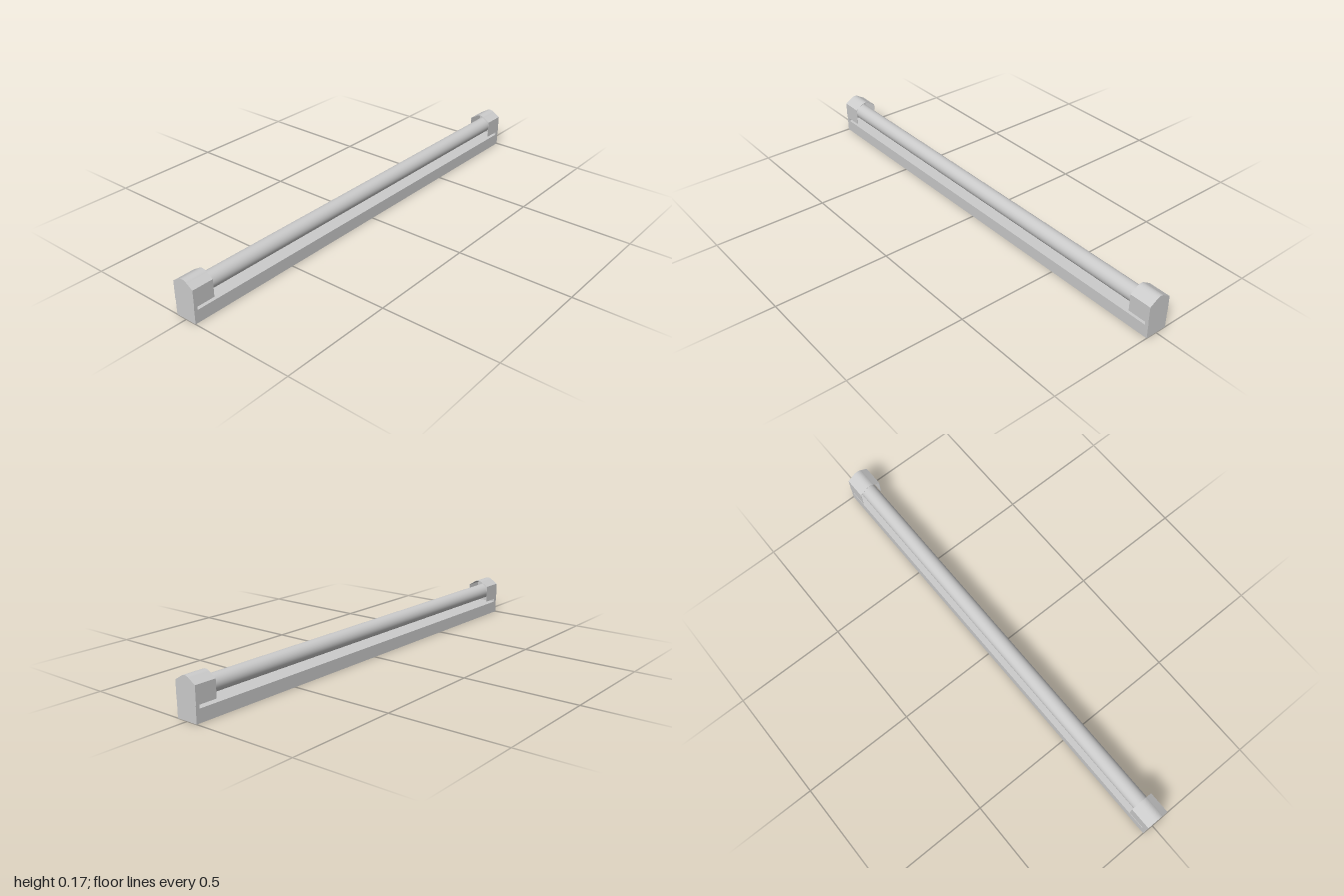
import * as THREE from 'three';

const grey = new THREE.MeshStandardMaterial({ color: 0xcccccc });

const BASE_TOP = 0.054, COVER_BOTTOM = 0.069, SHOULDER = 0.144;
const WALL = 0.016, COVER = 0.095, SKIN = 0.0015;

function part(name, geometry, parent) {
  const mesh = new THREE.Mesh(geometry, grey);
  mesh.name = name;
  parent.add(mesh);
  return mesh;
}

// Rounded gable running from the right shoulder to the left one
function gable(shape, w, drop) {
  const s = SHOULDER - drop * 0.5;
  shape.lineTo(w, s);
  shape.lineTo(0.022, 0.162 - drop);
  shape.bezierCurveTo(0.008, 0.1725 - drop, -0.008, 0.1725 - drop, -0.022, 0.162 - drop);
  shape.lineTo(-w, s);
}

function extrude(shape, depth) {
  return new THREE.ExtrudeGeometry(shape, { depth, bevelEnabled: false, curveSegments: 16 });
}

// Lamp holder at the +z end: upright wall plus a thin open hood over the tube
function makeHolder() {
  const holder = new THREE.Group();
  const wOut = 0.0508, wIn = wOut - SKIN;

  const wall = new THREE.Shape();
  wall.moveTo(wIn, BASE_TOP);
  gable(wall, wIn, SKIN);
  wall.lineTo(-wIn, BASE_TOP);
  wall.closePath();
  part('endWall', extrude(wall, WALL), holder).position.z = 1 - WALL;

  const hood = new THREE.Shape();
  hood.moveTo(wOut, COVER_BOTTOM);
  gable(hood, wOut, 0);
  hood.lineTo(-wOut, COVER_BOTTOM);
  hood.lineTo(-wIn, COVER_BOTTOM);
  // inner outline, traced back to the start
  const inner = new THREE.Shape();
  inner.moveTo(wIn, COVER_BOTTOM);
  gable(inner, wIn, SKIN);
  inner.getPoints(16).reverse().forEach((p) => hood.lineTo(p.x, p.y));
  hood.lineTo(wIn, COVER_BOTTOM);
  hood.closePath();
  part('hood', extrude(hood, COVER), holder).position.z = 1 - COVER;
  return holder;
}

export function createModel() {
  const model = new THREE.Group();
  model.name = 'tubeLight';

  // Long mounting base
  const base = part('base', new THREE.BoxGeometry(0.0986, BASE_TOP, 2), model);
  base.position.y = BASE_TOP / 2;

  // Fluorescent tube between the end walls
  const tube = new THREE.CylinderGeometry(0.035, 0.035, 2 - 2 * WALL, 40);
  tube.rotateX(Math.PI / 2);
  part('tube', tube, model).position.y = 0.11;

  // Holders at both ends
  for (const [name, turn] of [['frontHolder', 0], ['backHolder', Math.PI]]) {
    const holder = makeHolder();
    holder.name = name;
    holder.rotation.y = turn;
    model.add(holder);
  }
  return model;
}
